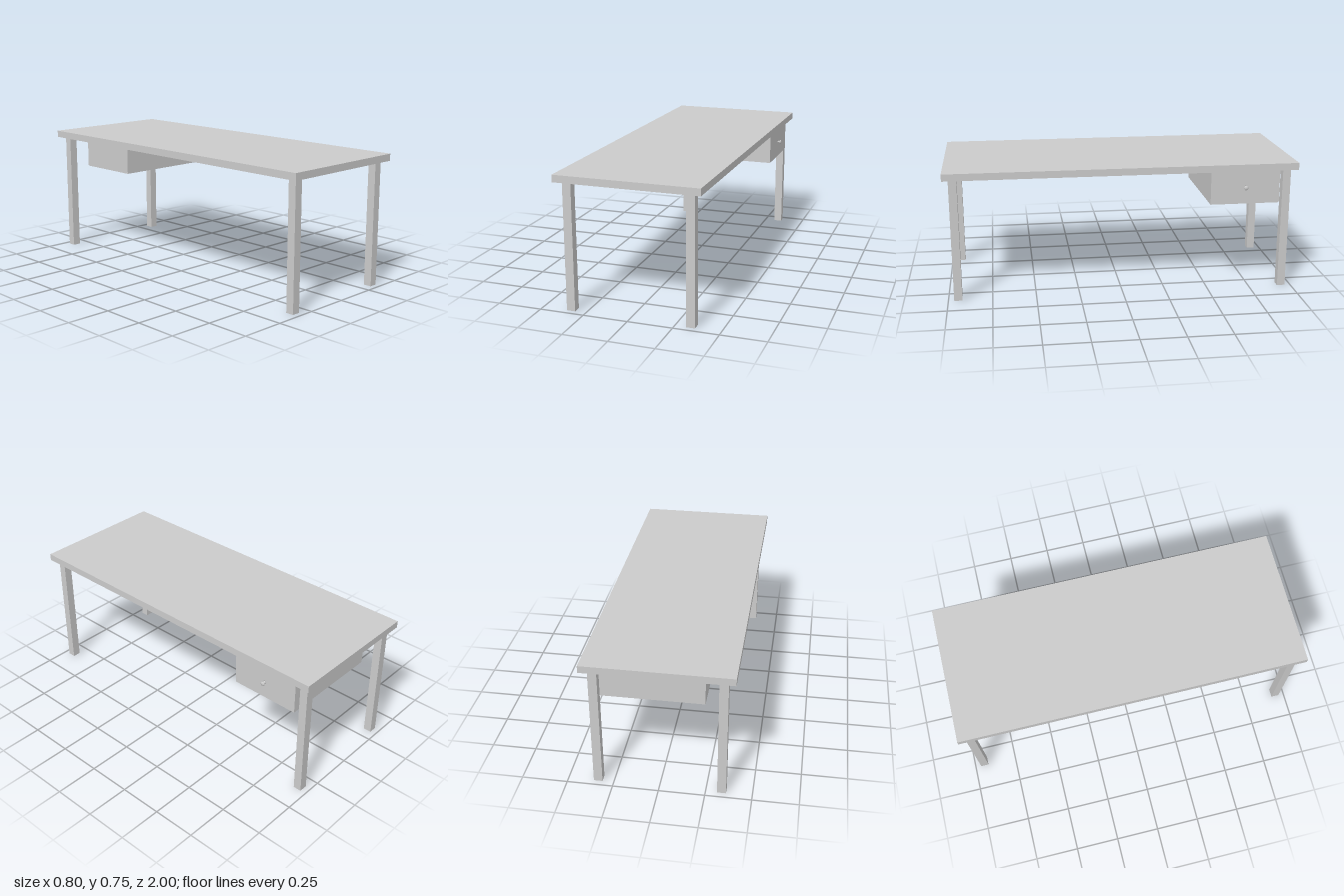
import * as THREE from 'three';

export function createModel() {
  const group = new THREE.Group();
  const material = new THREE.MeshStandardMaterial({ color: 0xcccccc });

  const add = (name, geometry, x, y, z) => {
    const mesh = new THREE.Mesh(geometry, material);
    mesh.name = name;
    mesh.position.set(x, y, z);
    group.add(mesh);
    return mesh;
  };
  // Box given by its minimum and maximum corners
  const addBox = (name, [x0, y0, z0], [x1, y1, z1]) =>
    add(name, new THREE.BoxGeometry(x1 - x0, y1 - y0, z1 - z0),
      (x0 + x1) / 2, (y0 + y1) / 2, (z0 + z1) / 2);

  const topY = 0.753, underside = 0.713;

  // Table top
  addBox('tableTop', [-0.4, underside, -1], [0.4, topY, 1]);

  // Four square legs
  const leg = new THREE.BoxGeometry(0.048, underside, 0.046);
  for (const sx of [-1, 1]) {
    for (const sz of [-1, 1]) {
      add(`${sz > 0 ? 'front' : 'back'}${sx > 0 ? 'Left' : 'Right'}Leg`,
        leg, sx * 0.336, underside / 2, sz * 0.944);
    }
  }

  // Drawer hung under one end, opening towards +x
  addBox('drawerBody', [-0.236, 0.517, -0.9], [0.36, underside, -0.5]);
  addBox('drawerFront', [0.36, 0.517, -0.9], [0.372, 0.709, -0.5]);

  // Turned knob: flared foot, narrow neck, domed head
  const profile = [
    [0, 0], [0.01, 0], [0.008, 0.002], [0.005, 0.005], [0.004, 0.009],
    [0.006, 0.012], [0.011, 0.015], [0.0125, 0.018], [0.011, 0.021],
    [0.006, 0.023], [0, 0.024],
  ].map(([r, h]) => new THREE.Vector2(r, h));
  const knob = add('drawerKnob', new THREE.LatheGeometry(profile, 24), 0.372, 0.613, -0.7);
  knob.rotation.z = -Math.PI / 2;

  return group;
}
